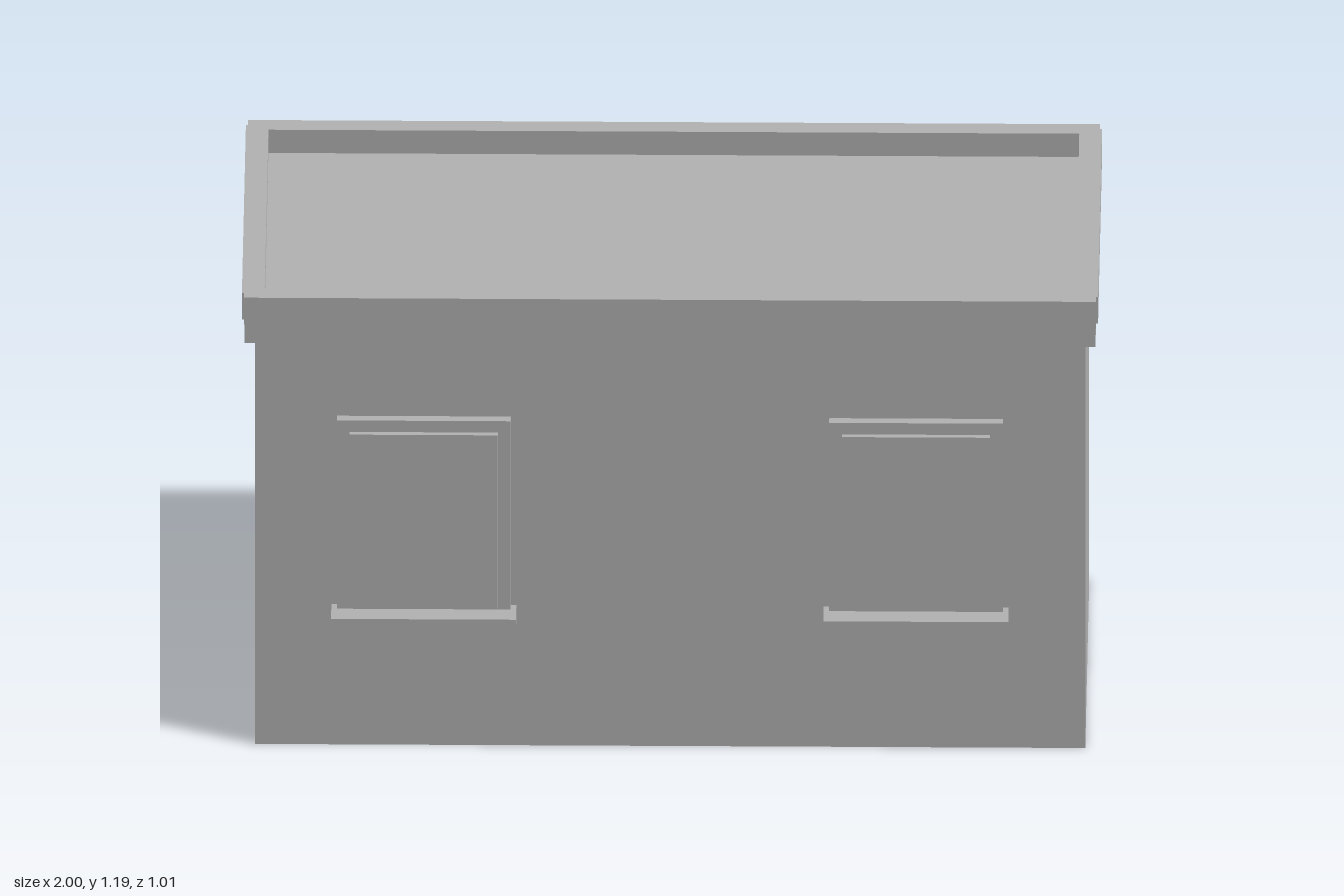
import * as THREE from 'three';

export function createModel() {
  const model = new THREE.Group();
  model.name = 'flatRoofBuilding';
  const plaster = new THREE.MeshStandardMaterial({ color: 0xb2b2b2 });
  plaster.name = 'plainGrey';

  // Box given by its limits on each axis
  function box(name, [x0, x1], [y0, y1], [z0, z1], parent = model) {
    const mesh = new THREE.Mesh(new THREE.BoxGeometry(x1 - x0, y1 - y0, z1 - z0), plaster);
    mesh.position.set((x0 + x1) / 2, (y0 + y1) / 2, (z0 + z1) / 2);
    mesh.name = name;
    parent.add(mesh);
    return mesh;
  }

  // Main body and the roof deck
  box('walls', [-0.97, 0.97], [0, 1.064], [-0.427, 0.427]);
  box('roofDeck', [-0.96, 0.96], [1.064, 1.125], [-0.415, 0.415]);

  // Rectangular ring lying flat, open in the middle
  function ring(name, halfX, halfZ, y0, y1) {
    const outline = new THREE.Shape([
      new THREE.Vector2(-halfX, -halfZ), new THREE.Vector2(halfX, -halfZ),
      new THREE.Vector2(halfX, halfZ), new THREE.Vector2(-halfX, halfZ),
    ]);
    outline.holes.push(new THREE.Path([
      new THREE.Vector2(-0.947, -0.403), new THREE.Vector2(-0.947, 0.403),
      new THREE.Vector2(0.947, 0.403), new THREE.Vector2(0.947, -0.403),
    ]));
    const geometry = new THREE.ExtrudeGeometry(outline, { depth: y1 - y0, bevelEnabled: false });
    geometry.rotateX(-Math.PI / 2);
    const mesh = new THREE.Mesh(geometry, plaster);
    mesh.position.y = y0;
    mesh.name = name;
    model.add(mesh);
  }

  // Cornice below, parapet trim on top
  ring('cornice', 0.994, 0.446, 1.064, 1.116);
  ring('parapet', 0.995, 0.452, 1.116, 1.186);
  for (const side of [-1, 1]) {
    const x = side > 0 ? [0.995, 1] : [-1, -0.995];
    box(side > 0 ? 'leftParapetTrim' : 'rightParapetTrim', x, [1.116, 1.186], [-0.427, 0.427]);
  }

  // Windows: frame, raised pane and projecting sill
  function windowUnit(x, back) {
    const unit = new THREE.Group();
    unit.name = back ? 'backWindow' : 'frontWindow';
    box('windowFrame', [-0.203, 0.203], [0.368, 0.864], [0.425, 0.451], unit);
    box('windowPane', [-0.173, 0.173], [0.378, 0.834], [0.45, 0.465], unit);
    box('windowSill', [-0.216, 0.216], [0.326, 0.369], [0.425, 0.503], unit);
    unit.position.x = x;
    if (back) unit.rotation.y = Math.PI;
    model.add(unit);
  }
  for (const x of [-0.575, 0.575]) {
    windowUnit(x, false);
    windowUnit(x, true);
  }

  // Door panel standing just off the back wall
  box('door', [-0.178, 0.178], [0.034, 0.866], [-0.483, -0.462]);

  return model;
}
